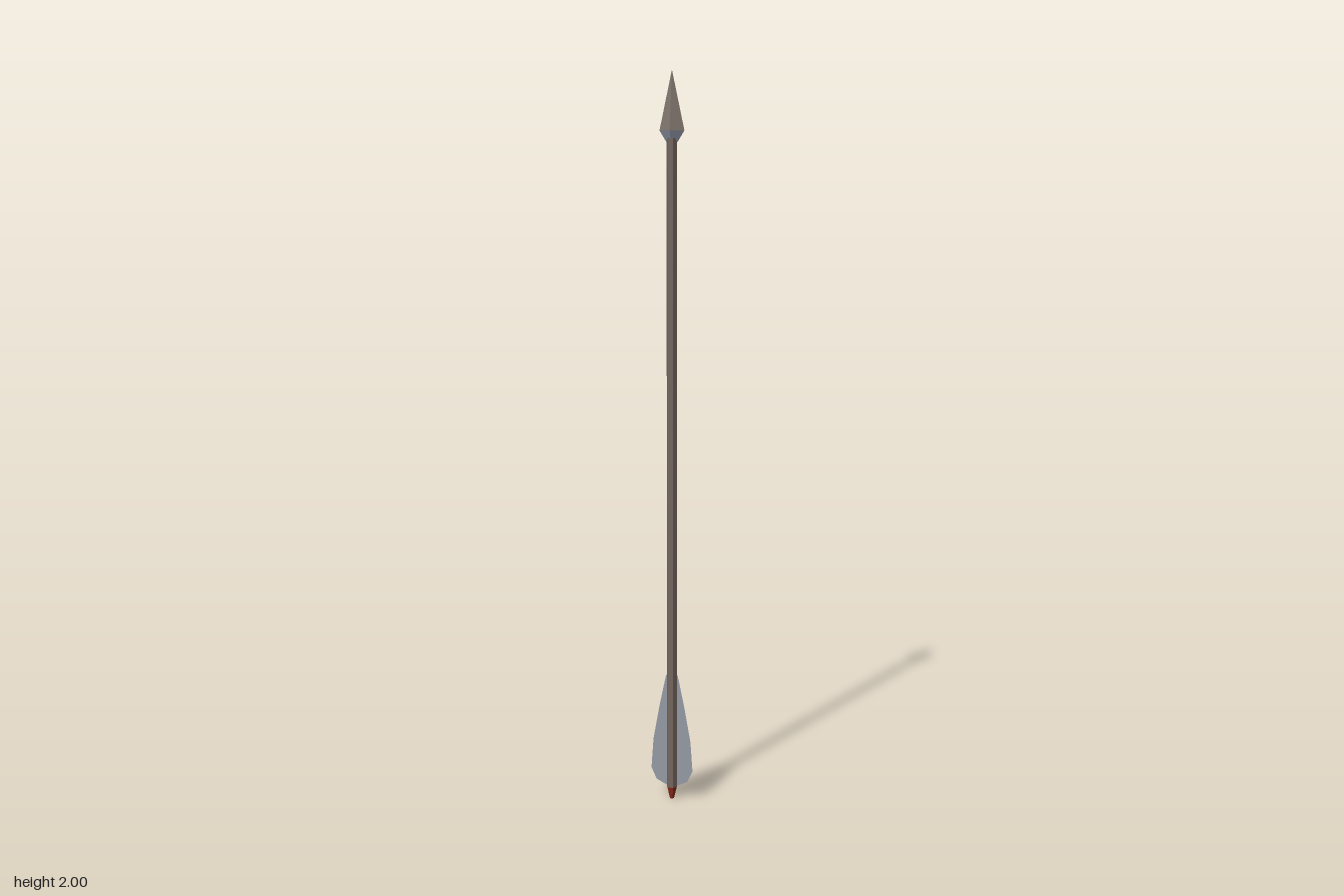
import * as THREE from 'three';

const material = (name, color, extra = {}) => {
  const m = new THREE.MeshStandardMaterial({ color, flatShading: true, ...extra });
  m.name = name;
  return m;
};

export function createModel() {
  const arrow = new THREE.Group();
  arrow.name = 'arrow';
  const wood = material('dark wood', 0x73665f);
  const blade = material('weathered metal', 0x80766d);
  const steel = material('blue grey steel', 0x8790a0);
  const feather = material('grey feather', 0x969aa5, { side: THREE.DoubleSide });
  const red = material('dark red', 0x8c2c1c);

  const add = (name, geometry, mat, y = 0) => {
    const mesh = new THREE.Mesh(geometry, mat);
    mesh.name = name;
    mesh.position.y = y;
    arrow.add(mesh);
    return mesh;
  };
  // Tapered prism between two heights
  const prism = (name, rTop, rBottom, y0, y1, sides, turn, mat) =>
    add(name, new THREE.CylinderGeometry(rTop, rBottom, y1 - y0, sides, 1, false, turn), mat, (y0 + y1) / 2);

  // Six-sided shaft with a flat face to the front
  prism('shaft', 0.0145, 0.0145, 0.035, 1.825, 6, Math.PI / 6, wood);

  // Diamond-section head: long point above a short socket
  const point = prism('headPoint', 0, 0.034, 1.845, 2, 4, 0, blade);
  const socket = prism('headSocket', 0.034, 0.015, 1.815, 1.845, 4, 0, steel);
  point.scale.z = 0.62;
  socket.scale.z = 0.62;

  // Nock tapering to the bottom end
  prism('nock', 0.0145, 0.006, 0, 0.035, 6, Math.PI / 6, red);

  // Two flat feather vanes, mirrored across the shaft
  for (const side of [1, -1]) {
    const outline = [[0.01, 0.365], [0.017, 0.36], [0.036, 0.27], [0.054, 0.17],
      [0.06, 0.085], [0.045, 0.052], [0.012, 0.036]];
    const shape = new THREE.Shape(outline.map(([x, y]) => new THREE.Vector2(x * side, y)));
    add(side > 0 ? 'leftVane' : 'rightVane', new THREE.ShapeGeometry(shape), feather);
  }
  return arrow;
}
